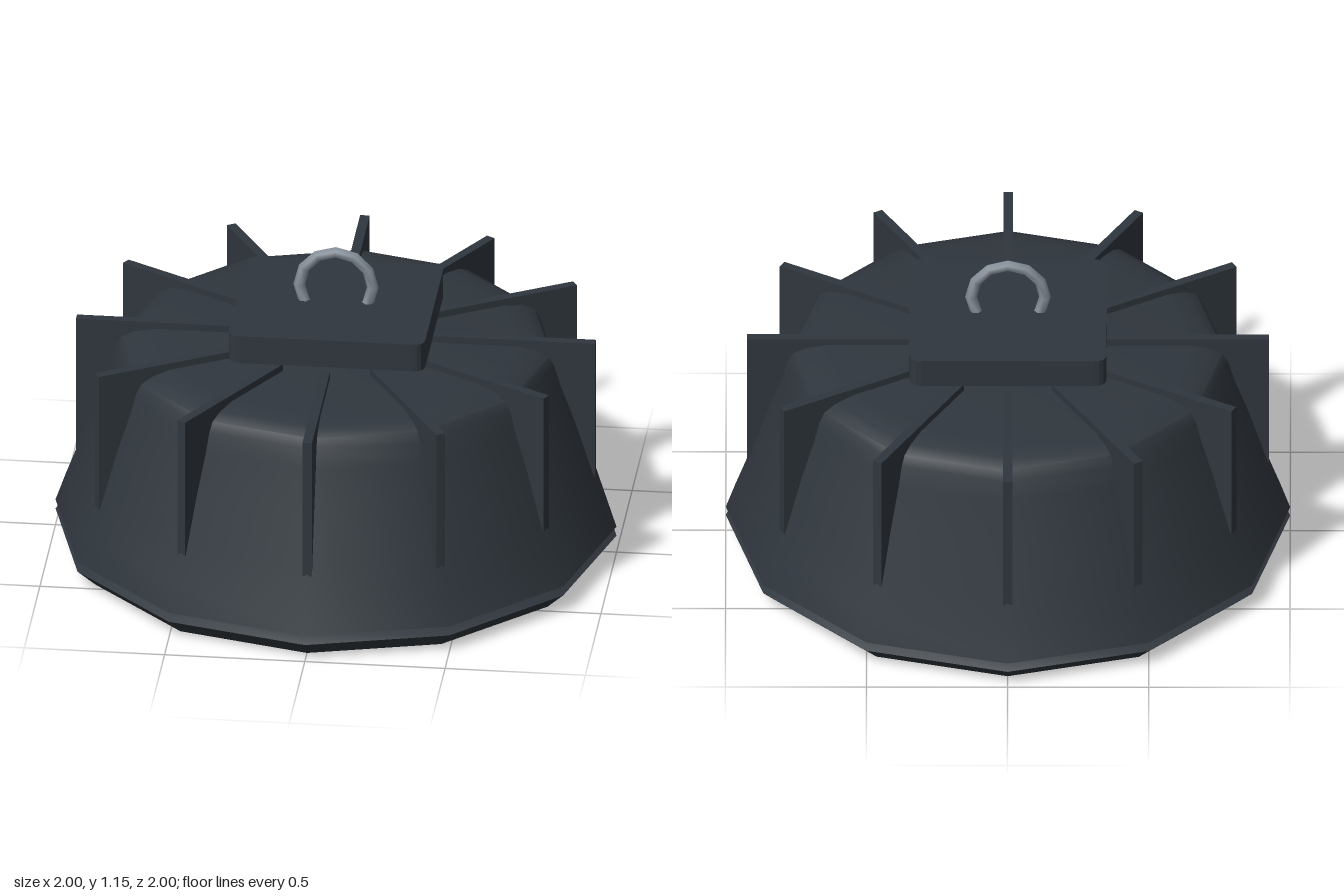
import * as THREE from 'three';
import { toCreasedNormals } from 'three/addons/utils/BufferGeometryUtils.js';

const SIDES = 12;

export function createModel() {
  const model = new THREE.Group();
  const dark = new THREE.MeshStandardMaterial({ color: 0x2f363d });
  const darkThin = new THREE.MeshStandardMaterial({ color: 0x2f363d, side: THREE.DoubleSide });
  const steel = new THREE.MeshStandardMaterial({ color: 0x87919b });
  const grey = new THREE.MeshStandardMaterial({ color: 0x555555 });
  const yellow = new THREE.MeshStandardMaterial({ color: 0x8a7f4a });

  const add = (name, geometry, material, parent = model) => {
    const mesh = new THREE.Mesh(geometry, material);
    mesh.name = name;
    parent.add(mesh);
    return mesh;
  };
  const lathe = (points) => new THREE.LatheGeometry(points.map(([r, y]) => new THREE.Vector2(r, y)), SIDES);

  // Twelve-sided housing with a rounded shoulder
  add('housing', toCreasedNormals(lathe([
    [0.94, 0.1], [1, 0.1], [0.965, 0.2], [0.92, 0.32], [0.86, 0.51], [0.805, 0.66],
    [0.785, 0.73], [0.765, 0.765], [0.72, 0.787], [0.65, 0.8], [0, 0.8],
  ]), 0.6), darkThin);

  // Bevelled lower rim, separated from the housing by a narrow groove
  add('lowerRim', toCreasedNormals(lathe([
    [0.87, 0.03], [0.87, 0], [0.93, 0], [1, 0.065], [0.965, 0.09], [0.94, 0.1],
  ]), 0.5), darkThin);

  // Cooling fins, running over the shoulder towards the centre
  const finShape = new THREE.Shape([
    [0.34, 0.79], [0.65, 0.78], [0.87, 0.3], [0.925, 0.3], [0.925, 0.825], [0.34, 0.825],
  ].map(([x, y]) => new THREE.Vector2(x, y)));
  const finGeometry = new THREE.ExtrudeGeometry(finShape, { depth: 0.034, bevelEnabled: false });
  finGeometry.translate(0, 0, -0.017);
  const fins = new THREE.Group();
  fins.name = 'coolingFins';
  for (let i = 0; i < SIDES; i++) {
    add('fin', finGeometry, dark, fins).rotation.y = (i / SIDES) * Math.PI * 2;
  }
  model.add(fins);

  // Driver box on top, with rounded corners
  const w = 0.35, d = 0.325, c = 0.045;
  const box = new THREE.Shape();
  box.moveTo(w - c, -d).quadraticCurveTo(w, -d, w, -d + c);
  box.lineTo(w, d - c).quadraticCurveTo(w, d, w - c, d);
  box.lineTo(-w + c, d).quadraticCurveTo(-w, d, -w, d - c);
  box.lineTo(-w, -d + c).quadraticCurveTo(-w, -d, -w + c, -d);
  const boxGeometry = new THREE.ExtrudeGeometry(box, { depth: 0.105, bevelEnabled: false, curveSegments: 4 });
  boxGeometry.rotateX(-Math.PI / 2);
  add('driverBox', boxGeometry, dark).position.y = 0.833;

  // Hanging ring
  add('hangingRing', new THREE.TorusGeometry(0.131, 0.021, 6, 12), steel).position.y = 0.997;

  // Light panel framed by a thin steel ring
  add('panelFrame', toCreasedNormals(lathe([
    [0.845, 0.015], [0.845, -0.0], [0.872, -0.0], [0.872, 0.02],
  ]), 0.5), steel);
  add('lightPanel', new THREE.CylinderGeometry(0.86, 0.86, 0.01, SIDES), grey).position.y = 0.017;
  add('panelHub', new THREE.CylinderGeometry(0.105, 0.105, 0.012, 24), steel).position.y = 0.006;

  // Three rings of lamps
  const lensGeometry = new THREE.CylinderGeometry(0.04, 0.034, 0.012, 10);
  const chipGeometry = new THREE.CylinderGeometry(0.013, 0.013, 0.004, 6);
  const lamps = new THREE.Group();
  lamps.name = 'lamps';
  for (const [radius, count] of [[0.38, 12], [0.57, 24], [0.76, 36]]) {
    for (let i = 0; i < count; i++) {
      const a = (i / count) * Math.PI * 2;
      const x = Math.sin(a) * radius, z = Math.cos(a) * radius;
      add('lampLens', lensGeometry, grey, lamps).position.set(x, 0.009, z);
      add('lampChip', chipGeometry, yellow, lamps).position.set(x, 0.003, z);
    }
  }
  model.add(lamps);

  return model;
}
